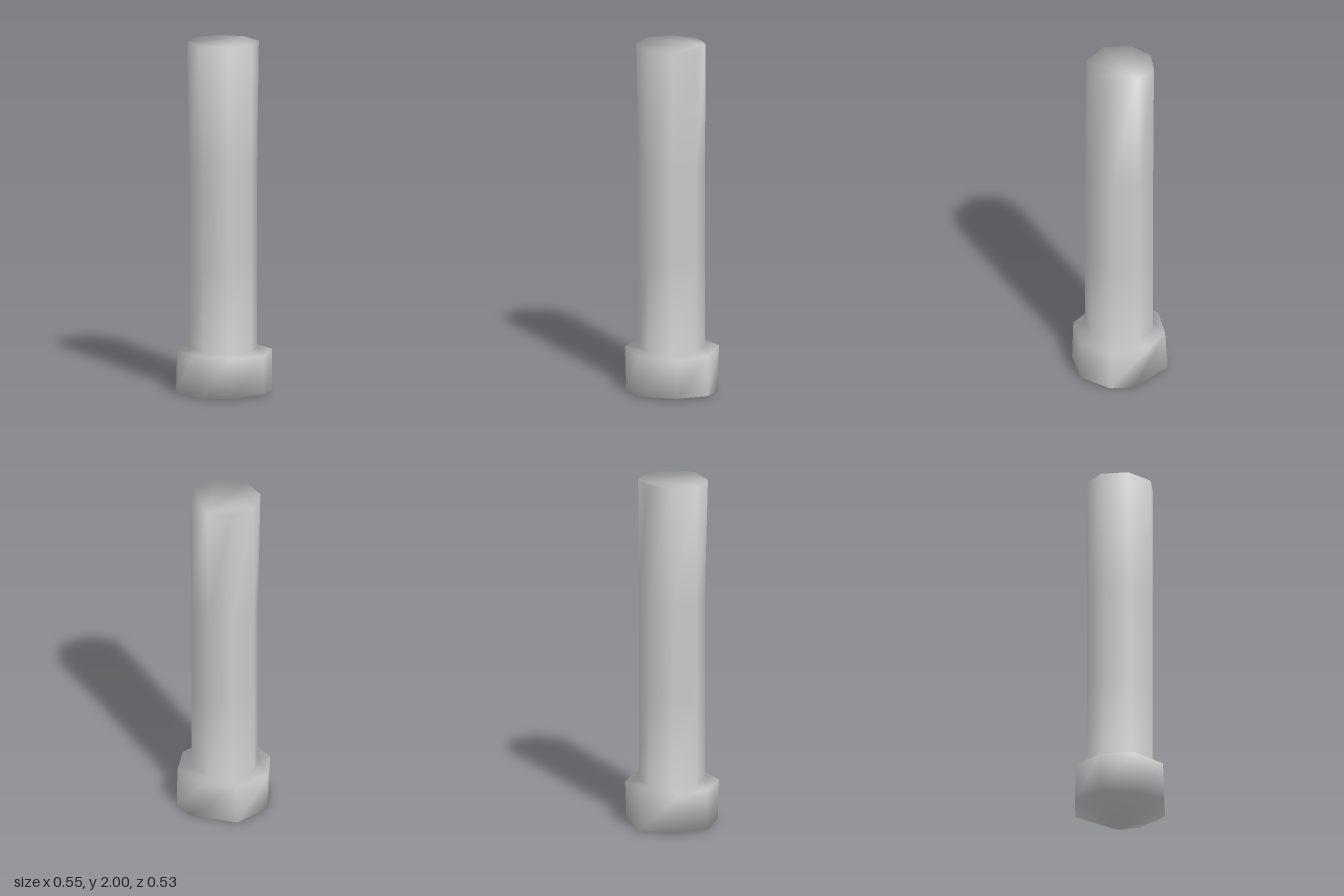
import * as THREE from 'three';

// Octagonal outlines as [x, z], running back, right, front, left
const footLow = [[0.07, -0.253], [0.19, -0.195], [0.272, -0.02], [0.19, 0.192],
  [0.03, 0.257], [-0.19, 0.195], [-0.275, 0.012], [-0.2, -0.19]];
const footHigh = [[-0.03, -0.265], [0.185, -0.2], [0.262, -0.01], [0.185, 0.188],
  [-0.015, 0.262], [-0.19, 0.185], [-0.275, 0.024], [-0.185, -0.185]];
const shaftLow = [[-0.01, -0.186], [0.135, -0.13], [0.193, 0.005], [0.14, 0.137],
  [-0.01, 0.183], [-0.145, 0.13], [-0.198, -0.005], [-0.137, -0.137]];
const shaftHigh = [[0, -0.19], [0.145, -0.132], [0.194, 0], [0.13, 0.137],
  [-0.025, 0.2], [-0.16, 0.13], [-0.2, -0.015], [-0.136, -0.146]];

// Closed loft with shared vertices, so shading flows over every edge
function loft(rings) {
  const n = rings[0].outline.length;
  const positions = [], index = [];
  for (const { outline, y } of rings) {
    outline.forEach(([x, z], k) => positions.push(x, typeof y === 'function' ? y(x) : y, z));
  }
  for (let r = 0; r < rings.length - 1; r++) {
    for (let k = 0; k < n; k++) {
      const a = r * n + k, b = r * n + (k + 1) % n;
      index.push(b, a, a + n, b, a + n, b + n);
    }
  }
  const top = (rings.length - 1) * n;
  for (let k = 1; k < n - 1; k++) {
    index.push(0, k, k + 1, top, top + k + 1, top + k);
  }
  const geometry = new THREE.BufferGeometry();
  geometry.setAttribute('position', new THREE.Float32BufferAttribute(positions, 3));
  geometry.setIndex(index);
  geometry.computeVertexNormals();
  return geometry;
}

export function createModel() {
  const group = new THREE.Group();
  group.name = 'column';
  const material = new THREE.MeshStandardMaterial({ color: 0xcccccc });

  // Flared foot, shoulder and slightly uneven shaft in one smooth skin
  const column = new THREE.Mesh(loft([
    { outline: footLow, y: x => 0.003 + 0.18 * x * x },
    { outline: footHigh, y: x => 0.246 - 0.2 * x * x },
    { outline: shaftLow, y: 0.247 },
    { outline: shaftLow, y: 0.75 },
    { outline: shaftLow, y: 1.3 },
    { outline: shaftHigh, y: 2 },
  ]), material);
  column.name = 'footAndShaft';
  group.add(column);
  return group;
}
